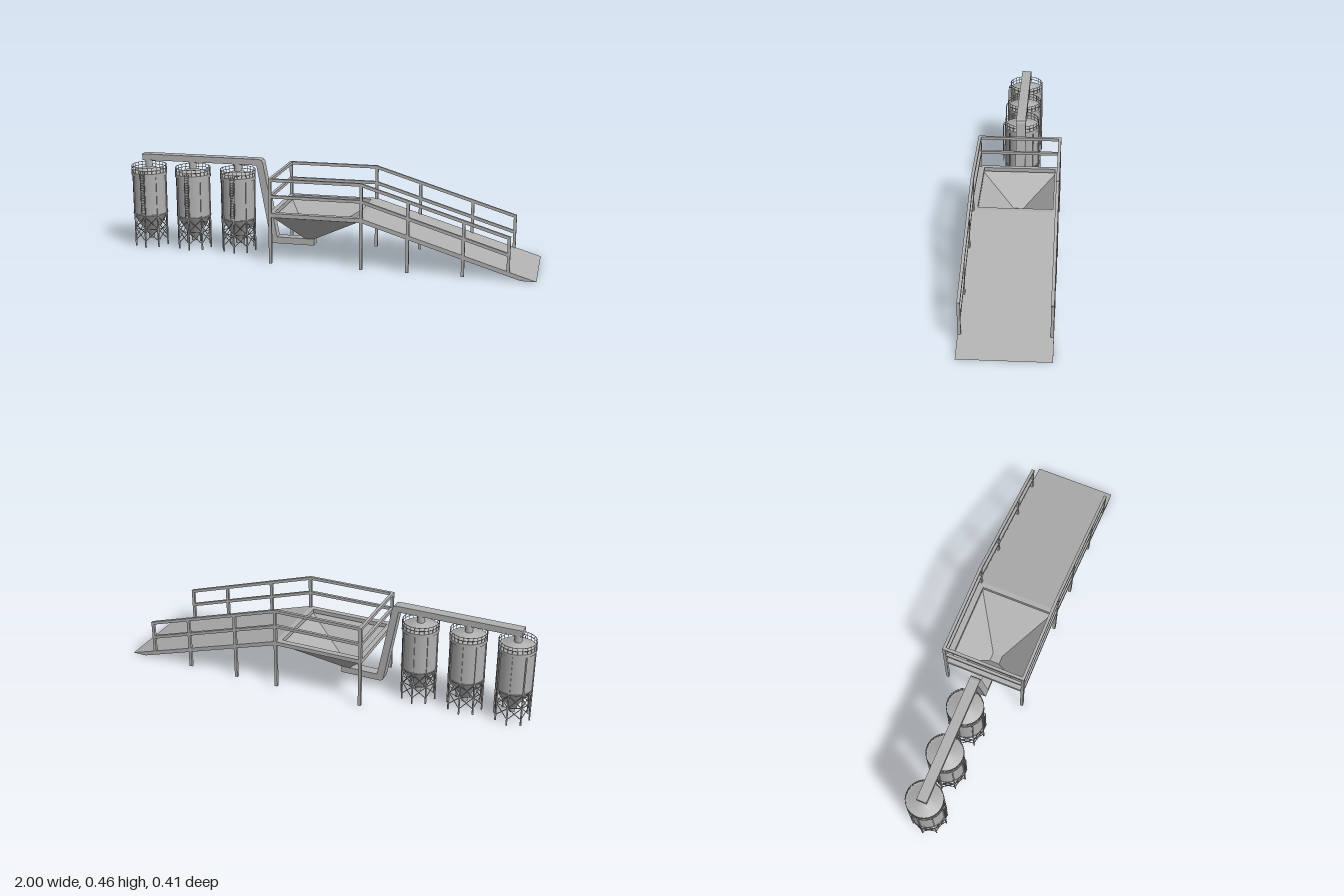
import * as THREE from 'three';

const steel = new THREE.MeshStandardMaterial({ color: 0xb0b0b0, side: THREE.DoubleSide });
steel.name = 'steel grey';

function add(parent, name, geometry, x = 0, y = 0, z = 0) {
  const mesh = new THREE.Mesh(geometry, steel);
  mesh.name = name;
  mesh.position.set(x, y, z);
  parent.add(mesh);
  return mesh;
}

// Straight member between two points: square (box) or round (cylinder)
function bar(parent, name, a, b, size, round = false) {
  const p = new THREE.Vector3(...a), q = new THREE.Vector3(...b);
  const d = q.clone().sub(p), len = d.length();
  const geo = round ? new THREE.CylinderGeometry(size / 2, size / 2, len, 6)
    : new THREE.BoxGeometry(size, len, size);
  const mesh = add(parent, name, geo);
  mesh.position.copy(p).add(q).multiplyScalar(0.5);
  mesh.quaternion.setFromUnitVectors(new THREE.Vector3(0, 1, 0), d.normalize());
  return mesh;
}

// Side profile (x, y) extruded across z, centred
function slab(parent, name, points, width) {
  const shape = new THREE.Shape(points.map(p => new THREE.Vector2(...p)));
  const geo = new THREE.ExtrudeGeometry(shape, { depth: width, bevelEnabled: false });
  add(parent, name, geo.translate(0, 0, -width / 2));
}

function rect(x0, x1, z) {
  return [[x0, -z], [x1, -z], [x1, z], [x0, z]];
}

function buildSilo() {
  const silo = new THREE.Group();
  silo.name = 'silo';
  const R = 0.083;
  const at = (i, n, r, y) => {
    const a = i / n * Math.PI * 2;
    return [Math.sin(a) * r, y, Math.cos(a) * r];
  };
  const ring = (name, r, tube, y) =>
    add(silo, name, new THREE.TorusGeometry(r, tube, 5, 32).rotateX(Math.PI / 2), 0, y, 0);

  add(silo, 'siloWall', new THREE.CylinderGeometry(R, R, 0.205, 32, 1, true), 0, 0.2625, 0);
  add(silo, 'siloCone', new THREE.CylinderGeometry(R, 0.015, 0.11, 32, 1, true), 0, 0.105, 0);
  add(silo, 'coneOutlet', new THREE.CylinderGeometry(0.015, 0.015, 0.02, 16), 0, 0.042, 0);
  add(silo, 'topBand', new THREE.CylinderGeometry(0.087, 0.087, 0.016, 32), 0, 0.363, 0);
  add(silo, 'roof', new THREE.CylinderGeometry(0.02, 0.083, 0.024, 32), 0, 0.382, 0);
  add(silo, 'inletPipe', new THREE.CylinderGeometry(0.018, 0.018, 0.05, 20), 0, 0.412, 0);
  add(silo, 'inletFlange', new THREE.CylinderGeometry(0.023, 0.023, 0.006, 20), 0, 0.428, 0);

  // Legs, wall ribs and cross bracing
  for (let i = 0; i < 8; i++) {
    bar(silo, 'leg', at(i, 8, 0.084, 0), at(i, 8, 0.084, 0.355), 0.006).rotateY(i * Math.PI / 4);
    bar(silo, 'brace', at(i, 8, 0.083, 0.03), at(i + 1, 8, 0.083, 0.09), 0.004, true);
    bar(silo, 'brace', at(i + 1, 8, 0.083, 0.03), at(i, 8, 0.083, 0.09), 0.004, true);
    bar(silo, 'brace', at(i, 8, 0.083, 0.09), at(i + 1, 8, 0.083, 0.155), 0.004, true);
    bar(silo, 'brace', at(i + 1, 8, 0.083, 0.09), at(i, 8, 0.083, 0.155), 0.004, true);
    bar(silo, 'legTie', at(i, 8, 0.083, 0.09), at(i + 1, 8, 0.083, 0.09), 0.004, true);
  }
  ring('wallRing', R, 0.003, 0.162);

  // Roof railing
  for (let i = 0; i < 24; i++) {
    bar(silo, 'roofRailPost', at(i, 24, 0.085, 0.37), at(i, 24, 0.085, 0.402), 0.0025, true);
  }
  ring('roofRail', 0.085, 0.0015, 0.387);
  ring('roofRail', 0.085, 0.0015, 0.402);

  // Ladder with hooked tops
  for (const x of [-0.01, 0.01]) {
    const path = new THREE.CatmullRomCurve3([[0.17, 0.095], [0.27, 0.095], [0.365, 0.095], [0.379, 0.091], [0.381, 0.084]]
      .map(([y, z]) => new THREE.Vector3(x, y, z)));
    add(silo, 'ladderRail', new THREE.TubeGeometry(path, 16, 0.002, 6));
  }
  for (let i = 0; i < 16; i++) {
    const y = 0.178 + i * 0.0125;
    bar(silo, 'ladderRung', [-0.01, y, 0.095], [0.01, y, 0.095], 0.003, true);
  }
  return silo;
}

function buildHopper(parent) {
  const top = rect(-0.235, 0.185, 0.188).map(([x, z]) => [x, 0.226, z]);
  const low = rect(-0.112, -0.072, 0.023).map(([x, z]) => [x, 0.079, z]);
  const v = [];
  for (let i = 0; i < 4; i++) {
    const j = (i + 1) % 4;
    v.push(...top[i], ...top[j], ...low[j], ...top[i], ...low[j], ...low[i]);
  }
  const geo = new THREE.BufferGeometry();
  geo.setAttribute('position', new THREE.Float32BufferAttribute(v, 3));
  geo.computeVertexNormals();
  add(parent, 'hopper', geo);
}

export function createModel() {
  const model = new THREE.Group();
  model.name = 'unloadingStation';

  for (const x of [-0.912, -0.685, -0.455]) {
    const silo = buildSilo();
    silo.position.x = x;
    model.add(silo);
  }

  // Conveyor duct from hopper outlet up and over the silos
  slab(model, 'conveyorDuct', [
    [-0.936, 0.43], [-0.353, 0.43], [-0.287, 0.068], [-0.282, 0.054], [-0.27, 0.048], [-0.07, 0.048],
    [-0.07, 0.08], [-0.254, 0.08], [-0.322, 0.445], [-0.328, 0.455], [-0.34, 0.46], [-0.936, 0.46],
  ], 0.048);

  // Platform frame around the hopper opening
  const frame = new THREE.Shape(rect(-0.245, 0.195, 0.203).map(p => new THREE.Vector2(...p)));
  frame.holes.push(new THREE.Path(rect(-0.222, 0.17, 0.175).map(p => new THREE.Vector2(...p))));
  const frameGeo = new THREE.ExtrudeGeometry(frame, { depth: 0.02, bevelEnabled: false });
  add(model, 'platformFrame', frameGeo.rotateX(Math.PI / 2), 0, 0.245, 0);
  buildHopper(model);

  slab(model, 'ramp', [[0.195, 0.225], [0.93, 0], [1, 0], [0.195, 0.245]], 0.406);

  // Railings: level along the platform, then following the ramp
  const W = 0.014, drop = 0.21;
  for (const z of [-0.196, 0.196]) {
    for (const [x, y0, y1] of [[-0.238, 0, 0.403], [0.195, 0, 0.403], [0.412, 0, 0.336],
      [0.667, 0, 0.258], [0.872, 0.038, 0.195]]) {
      bar(model, 'railingPost', [x, y0, z], [x, y1, z], W);
    }
    for (const y of [0.403, 0.324]) {
      bar(model, 'platformRail', [-0.245, y, z], [0.197, y, z], W);
      bar(model, 'rampRail', [0.193, y, z], [0.878, y - drop, z], W);
    }
  }
  for (const y of [0.403, 0.324]) {
    bar(model, 'endRail', [-0.238, y, -0.203], [-0.238, y, 0.203], W);
  }
  return model;
}
